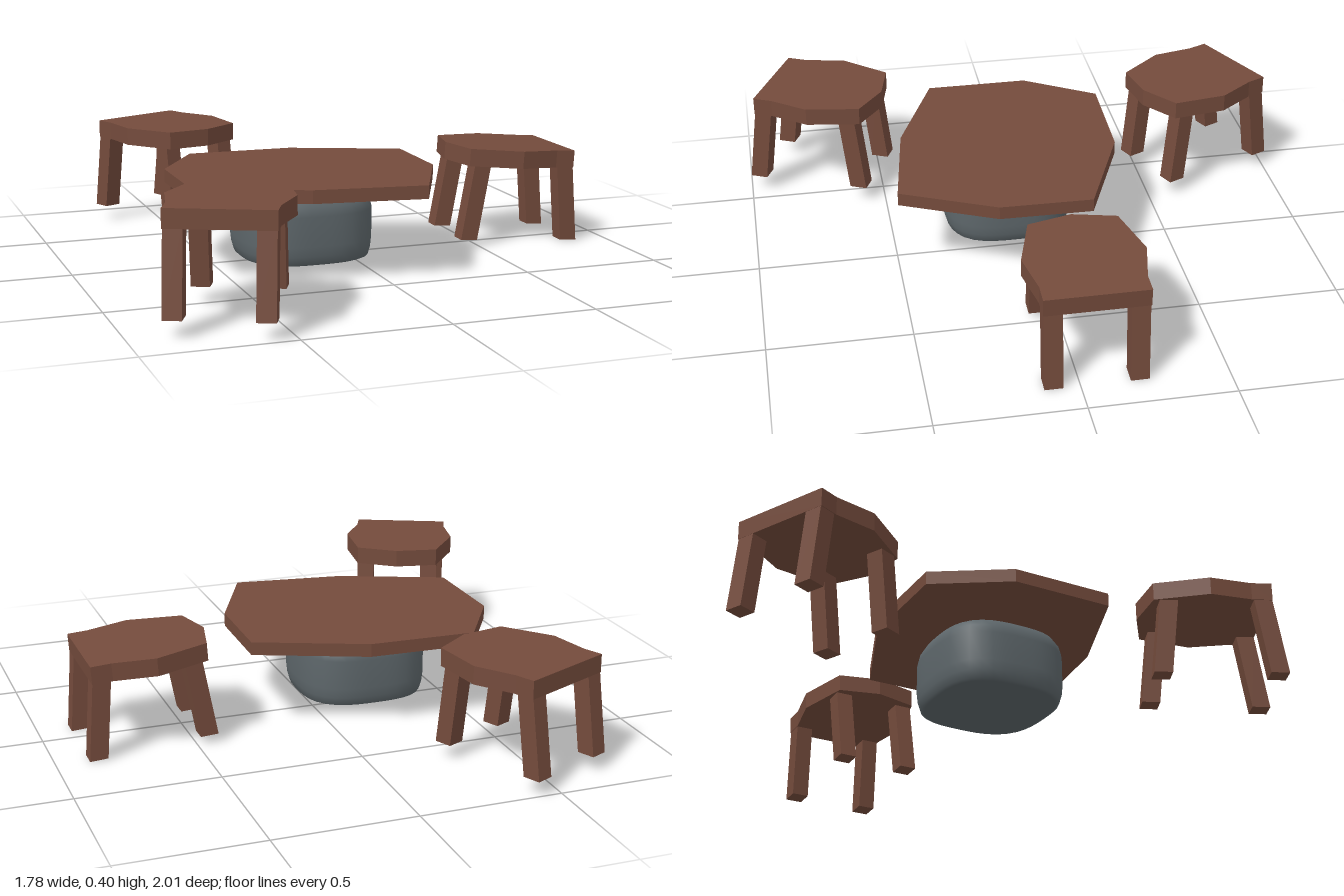
import * as THREE from 'three';
import { mergeVertices } from 'three/addons/utils/BufferGeometryUtils.js';

const wood = new THREE.MeshStandardMaterial({ color: 0x744b3c, flatShading: true });
wood.name = 'brown wood';
const stone = new THREE.MeshStandardMaterial({ color: 0x5d666a });
stone.name = 'grey stone';

function part(name, geometry, material) {
  const mesh = new THREE.Mesh(geometry, material);
  mesh.name = name;
  return mesh;
}

// Irregular slab with a shallow belly underneath
function tableTopGeometry() {
  const rim = [
    [-0.645, -0.08], [-0.485, -0.335], [-0.1, -0.325], [0.285, -0.165],
    [0.28, 0.165], [0.125, 0.5], [-0.27, 0.445], [-0.645, 0.29],
  ];
  const top = 0.34, edge = 0.293, belly = 0.267;
  const positions = [];
  const tri = (...corners) => corners.forEach((c) => positions.push(...c));
  const topCentre = [-0.17, top, 0.06], bottomCentre = [-0.1, belly, 0.08];
  rim.forEach((a, i) => {
    const b = rim[(i + 1) % rim.length];
    const ta = [a[0], top, a[1]], tb = [b[0], top, b[1]];
    const ba = [a[0], edge, a[1]], bb = [b[0], edge, b[1]];
    tri(topCentre, tb, ta);
    tri(tb, bb, ba);
    tri(tb, ba, ta);
    tri(bottomCentre, ba, bb);
  });
  const g = new THREE.BufferGeometry();
  g.setAttribute('position', new THREE.Float32BufferAttribute(positions, 3));
  g.computeVertexNormals();
  return g;
}

// Rounded boulder: a lathe squared off into a superellipse plan
function boulderGeometry() {
  const profile = [
    [0, 0.04], [0.6, 0.04], [0.9, 0.04], [0.95, 0.045], [0.985, 0.075], [1, 0.11],
    [1, 0.215], [0.97, 0.245], [0.9, 0.272], [0.8, 0.285], [0, 0.287],
  ].map(([r, y]) => new THREE.Vector2(r, y));
  let g = new THREE.LatheGeometry(profile, 40);
  const p = g.attributes.position;
  const n = 2.9;
  for (let i = 0; i < p.count; i++) {
    const x = p.getX(i), z = p.getZ(i), r = Math.hypot(x, z);
    if (r < 1e-6) continue;
    const k = Math.pow(Math.abs(x / r) ** n + Math.abs(z / r) ** n, -1 / n);
    p.setX(i, x * k * 0.238);
    p.setZ(i, z * k * 0.235);
  }
  g.deleteAttribute('uv');
  g.deleteAttribute('normal');
  g = mergeVertices(g, 1e-4);
  g.computeVertexNormals();
  return g;
}

// Seat outline, wide straight end at +x, pointed end at -x; top at y = 0
function seatGeometry() {
  const half = [[-0.225, 0], [-0.19, 0.155], [0, 0.21], [0.15, 0.178], [0.222, 0.178]];
  const mirrored = half.slice(1).reverse().map(([x, z]) => [x, -z]);
  const shape = new THREE.Shape([...half, ...mirrored].map(([x, z]) => new THREE.Vector2(x, z)));
  const g = new THREE.ExtrudeGeometry(shape, { depth: 0.064, bevelEnabled: false });
  return g.rotateX(Math.PI / 2);
}

// Square leg whose foot is shifted along x
function legGeometry(x, z, splay) {
  const height = 0.285;
  const g = new THREE.BoxGeometry(0.064, height, 0.063);
  const p = g.attributes.position;
  for (let i = 0; i < p.count; i++) {
    if (p.getY(i) < 0) p.setX(i, p.getX(i) + splay);
  }
  g.translate(x, -0.055 - height / 2, z);
  g.computeVertexNormals();
  return g;
}

function makeStool(name) {
  const stool = new THREE.Group();
  stool.name = name;
  stool.add(part('seat', seatGeometry(), wood));
  for (const side of [-1, 1]) {
    stool.add(part('outerLeg', legGeometry(0.188, side * 0.144, 0.04), wood));
    stool.add(part('innerLeg', legGeometry(-0.136, side * 0.125, -0.034), wood));
  }
  return stool;
}

export function createModel() {
  const model = new THREE.Group();
  model.name = 'tableWithStools';

  const table = new THREE.Group();
  table.name = 'table';
  const boulder = part('boulderBase', boulderGeometry(), stone);
  boulder.position.set(-0.192, 0, 0.075);
  table.add(part('tableTop', tableTopGeometry(), wood), boulder);
  model.add(table);

  // Stools around the table: position, heading in degrees, tilt
  const stools = [
    ['leftStool', 0.648, 0.361, -0.055, 0, -0.068],
    ['frontStool', -0.625, 0.403, 0.69, 115, 0],
    ['backStool', -0.463, 0.4, -0.7, -114.5, 0],
  ];
  for (const [name, x, y, z, heading, tilt] of stools) {
    const stool = makeStool(name);
    stool.position.set(x, y, z);
    stool.rotation.set(0, THREE.MathUtils.degToRad(-heading), tilt);
    model.add(stool);
  }
  return model;
}
